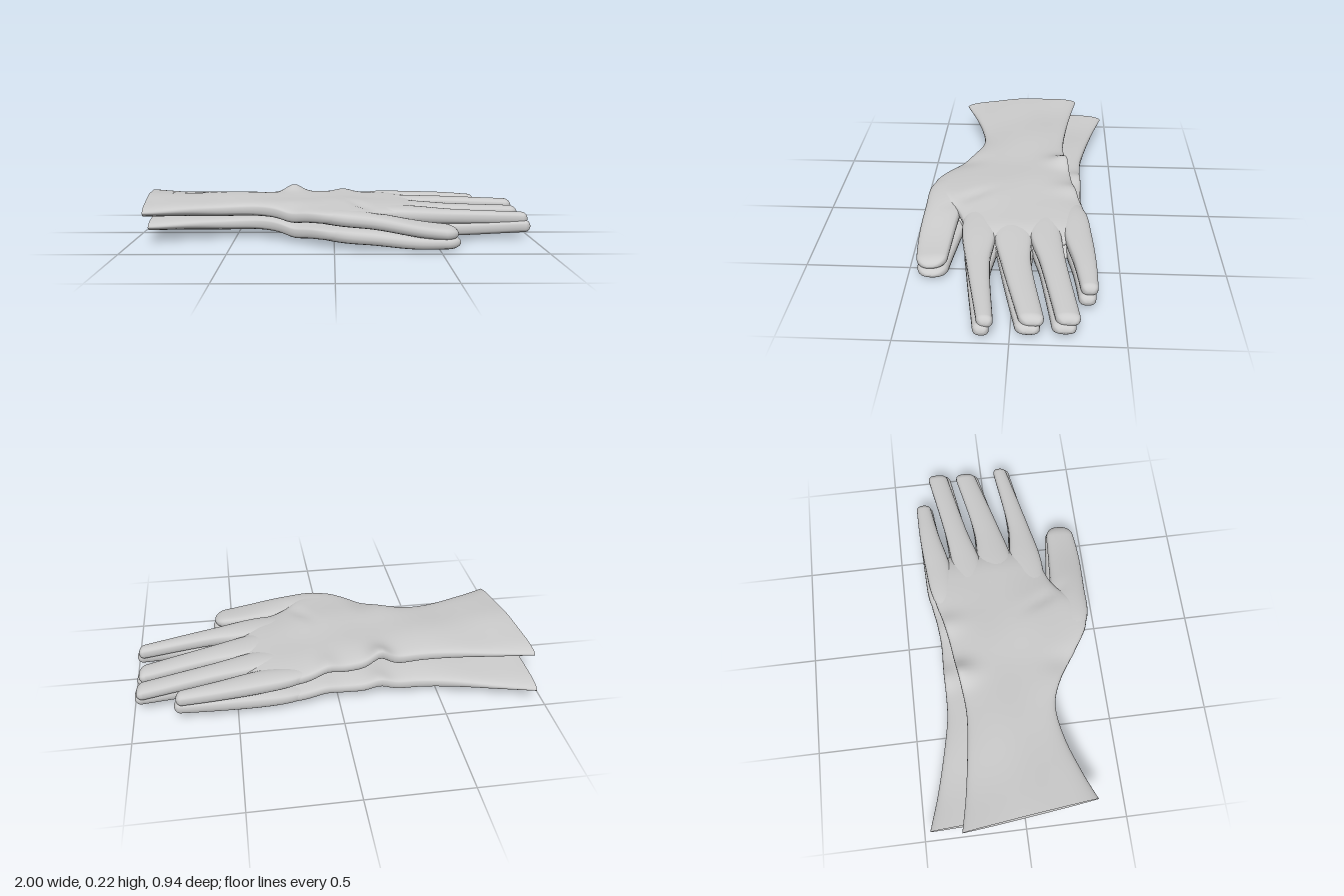
import * as THREE from 'three';

const material = new THREE.MeshStandardMaterial({ color: 0xcccccc, side: THREE.DoubleSide });

// Smooth interpolation of a table whose rows start with x; returns the whole row
function sample(rows, x) {
  let i = 0;
  while (i < rows.length - 2 && x > rows[i + 1][0]) i++;
  const a = rows[i], b = rows[i + 1], d = b[0] - a[0];
  const t = Math.min(1, Math.max(0, (x - a[0]) / d));
  const slope = (k, c) => {
    const p = rows[Math.max(0, k - 1)], q = rows[Math.min(rows.length - 1, k + 1)];
    return (q[c] - p[c]) / (q[0] - p[0]);
  };
  const t2 = t * t, t3 = t2 * t;
  return a.map((v, c) => c === 0 ? x :
    v * (2 * t3 - 3 * t2 + 1) + b[c] * (3 * t2 - 2 * t3) +
    d * ((t3 - 2 * t2 + t) * slope(i, c) + (t3 - t2) * slope(i + 1, c)));
}

const bump = (x, z, cx, cz, rx, rz) => Math.exp(-(((x - cx) / rx) ** 2) - ((z - cz) / rz) ** 2);

// Loft of flat rounded sections along x. Row: x, zBack, zFront, yOffset, halfThickness, squareness
function loft(name, rows, round, segments, sides, place) {
  const x0 = rows[0][0], x1 = rows[rows.length - 1][0];
  const stations = [];
  for (let i = 0; i < segments; i++) stations.push([x0 + (x1 - round - x0) * i / segments, 1]);
  for (let k = 0; k <= 8; k++) {
    const a = k / 8 * Math.PI / 2;
    stations.push([x1 - round + round * Math.sin(a), Math.cos(a)]);
  }
  const positions = [], index = [];
  stations.forEach(([x, s], i) => {
    const [, zb, zf, y, h, e] = sample(rows, x);
    const half = Math.max(0.001, (zf - zb) / 2 - round * (1 - s));
    for (let j = 0; j < sides; j++) {
      const a = j / sides * Math.PI * 2, sn = Math.sin(a);
      const rise = Math.sign(sn) * Math.pow(Math.abs(sn), e) * h * s;
      positions.push(...place(x, y + rise, (zb + zf) / 2 + half * Math.cos(a), sn));
      if (i < stations.length - 1) {
        const p = i * sides + j, q = i * sides + (j + 1) % sides;
        index.push(p, p + sides, q, q, p + sides, q + sides);
      }
    }
  });
  const g = new THREE.BufferGeometry();
  g.setAttribute('position', new THREE.Float32BufferAttribute(positions, 3));
  g.setIndex(index);
  g.computeVertexNormals();
  const mesh = new THREE.Mesh(g, material);
  mesh.name = name;
  return mesh;
}

// Cuff, wrist and palm
const palm = [
  [-0.96, -0.31, 0.355, 0.005, 0.042, 1],
  [-0.8, -0.275, 0.295, 0, 0.044, 0.85],
  [-0.6, -0.245, 0.235, 0, 0.045, 0.65],
  [-0.43, -0.23, 0.217, 0, 0.045, 0.55],
  [-0.3, -0.24, 0.265, 0, 0.045, 0.5],
  [-0.15, -0.262, 0.365, 0, 0.044, 0.5],
  [-0.02, -0.28, 0.438, 0, 0.043, 0.5],
  [0.1, -0.305, 0.42, 0, 0.043, 0.5],
  [0.2, -0.33, 0.315, 0, 0.042, 0.5],
  [0.3, -0.335, 0.265, 0, 0.04, 0.5],
  [0.46, -0.325, 0.24, 0, 0.037, 0.5],
];

// Fingers: root, middle and tip edges
const finger = (xTip, root, mid, tip, lift) => [
  [0.1, root[0] + 0.08, root[1] - 0.02, 0, 0.018, 0.6],
  [0.23, root[0] + 0.022, root[1], lift * 0.2, 0.032, 0.6],
  [0.39, root[0], root[1], lift * 0.4, 0.037, 0.55],
  [0.6, mid[0], mid[1], lift, 0.035, 0.6],
  [xTip, tip[0], tip[1], lift, 0.031, 0.65],
];
const digits = {
  littleFinger: [finger(0.79, [-0.363, -0.23], [-0.379, -0.276], [-0.382, -0.308], 0.012), 0.03],
  ringFinger: [finger(0.98, [-0.217, -0.064], [-0.24, -0.12], [-0.305, -0.2], 0.012), 0.035],
  middleFinger: [finger(0.978, [-0.08, 0.106], [-0.082, 0.057], [-0.152, -0.045], 0), 0.038],
  indexFinger: [finger(0.988, [0.092, 0.258], [0.107, 0.218], [0.066, 0.135], 0), 0.028],
  thumb: [[
    [-0.2, 0.2, 0.3, 0, 0.018, 0.6],
    [0, 0.24, 0.445, -0.003, 0.037, 0.55],
    [0.2, 0.281, 0.463, -0.013, 0.037, 0.6],
    [0.4, 0.302, 0.469, -0.022, 0.034, 0.6],
    [0.59, 0.315, 0.455, -0.02, 0.032, 0.7],
  ], 0.062],
};

// One glove; path row: x, height, sideways shift
function glove(name, { path, xShift, slant, crumple, droop }) {
  const place = (x, y, z, sn) => {
    const [, height, shift] = sample(path, x);
    const body = Math.min(1, Math.max(0, (0.45 - x) / 0.3));
    // Cloth folds, strongest along the two edges of the wrist
    let fold = body * 0.004 * Math.sin(9 * x + 7 * z) * Math.sin(14 * z - 5 * x);
    fold += crumple * (bump(x, z, -0.22, -0.26, 0.06, 0.09) + 0.45 * bump(x, z, 0.05, -0.3, 0.06, 0.1));
    fold -= 0.012 * bump(x, z, -0.21, 0.3, 0.06, 0.1);
    fold -= droop * bump(x, z, 0.55, 0.42, 0.24, 0.13);
    // Crease at the base of the thumb
    if (sn > 0) fold -= 0.012 * sn * bump(x - z * 0.5, z, 0.02, 0.24, 0.035, 0.09);
    // Slanted cuff opening
    const lean = slant * Math.min(1, Math.max(0, (-0.5 - x) / 0.46));
    return [x + xShift + lean * z, height + y + fold, z + shift];
  };
  const group = new THREE.Group();
  group.name = name;
  group.add(loft('palmAndCuff', palm, 0.13, 60, 56, place));
  for (const [part, [rows, round]] of Object.entries(digits)) {
    group.add(loft(part, rows, round, 28, 24, place));
  }
  return group;
}

export function createModel() {
  const model = new THREE.Group();
  model.name = 'pairOfGloves';
  model.add(
    glove('lowerGlove', {
      path: [
        [-1, 0.063, -0.162], [-0.4, 0.068, -0.098], [-0.2, 0.064, -0.072], [0, 0.066, -0.042],
        [0.3, 0.06, -0.016], [0.6, 0.058, 0], [1, 0.061, 0.018],
      ],
      xShift: 0.012, slant: 0.05, crumple: 0.025, droop: 0,
    }),
    glove('upperGlove', {
      path: [
        [-1, 0.163, 0], [-0.4, 0.157, 0], [-0.2, 0.155, 0], [0, 0.155, 0],
        [0.3, 0.14, 0], [0.6, 0.119, 0], [1, 0.096, 0],
      ],
      xShift: 0, slant: 0.12, crumple: 0.05, droop: 0.022,
    }),
  );
  return model;
}
